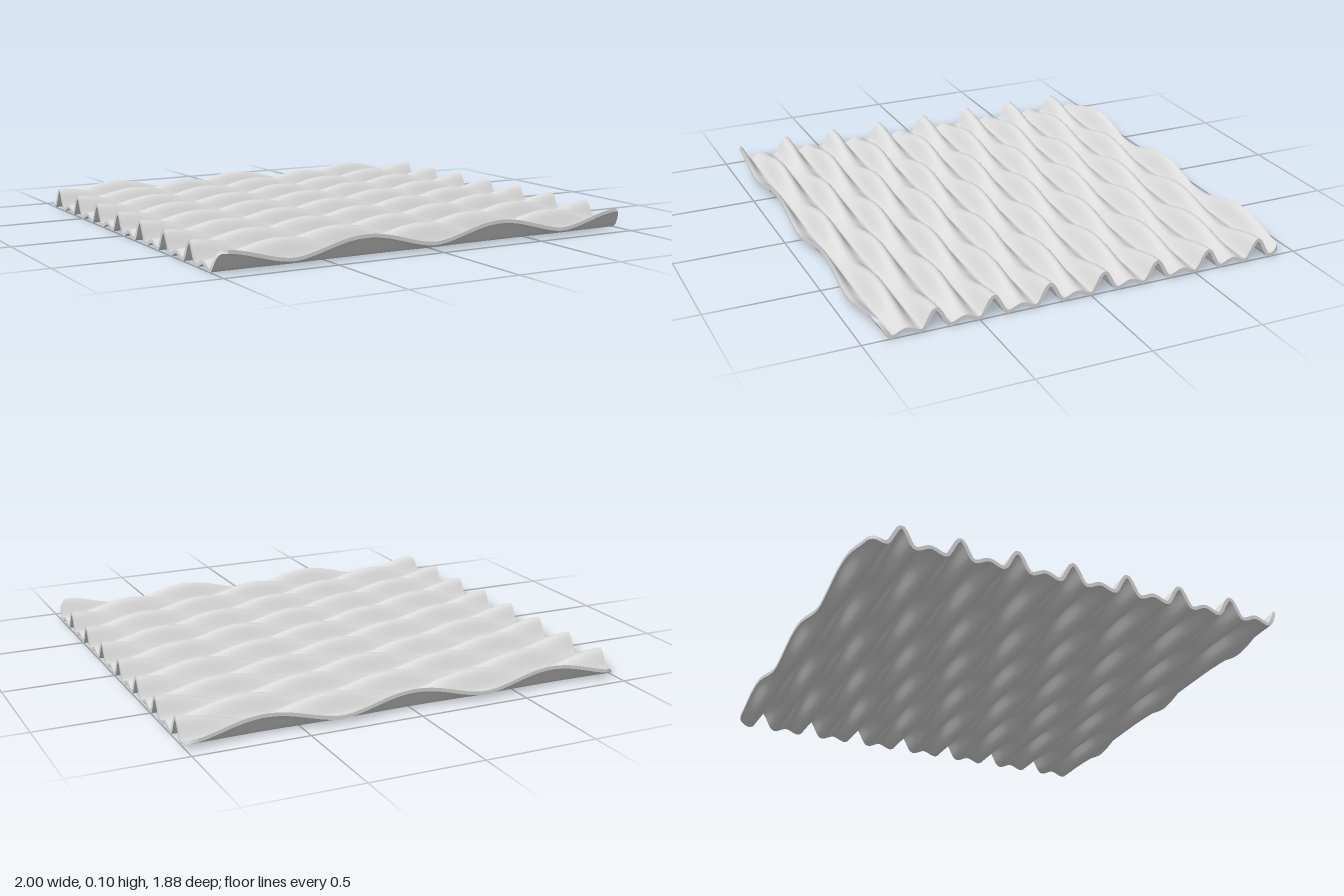
import * as THREE from 'three';

const HALF_X = 1, HALF_Z = 0.9375, PITCH = 0.125, CORNER = 0.05;
const HALF_THICK = 0.0078, LOW = 0.02, HIGH = 0.082;
const NX = 84, NZ = 240;

// Mid-surface height: ridges along x whose crests swell alternately from row to row
function height(x, z) {
  const t = (HALF_Z - z) / PITCH;
  const row = Math.round(t);
  const sign = row % 2 === 0 ? -1 : 1;
  const swell = Math.pow(Math.max(0, 0.5 + 0.5 * sign * Math.cos(3 * Math.PI * x)), 0.85);
  const crest = LOW + (HIGH - LOW) * swell;
  return HALF_THICK + crest * (0.5 + 0.5 * Math.cos(2 * Math.PI * t));
}

// Point of the sheet at grid position (i, j), offset to the top (+1) or underside (-1)
function sheetPoint(i, j, side) {
  const z = HALF_Z * (2 * j / NZ - 1);
  const d = Math.max(0, Math.abs(z) - (HALF_Z - CORNER));
  const reach = HALF_X - CORNER + Math.sqrt(Math.max(0, CORNER * CORNER - d * d));
  const x = reach * (2 * i / NX - 1);
  const e = 0.0005;
  const n = new THREE.Vector3(
    (height(x - e, z) - height(x + e, z)) / (2 * e), 1,
    (height(x, z - e) - height(x, z + e)) / (2 * e)
  ).normalize().multiplyScalar(side * HALF_THICK);
  const p = new THREE.Vector3(x, height(x, z), z).add(n);
  p.x = THREE.MathUtils.clamp(p.x, -HALF_X, HALF_X);
  return p;
}

// Smooth grid of (nu + 1) x (nv + 1) points
function gridGeometry(nu, nv, point, flip) {
  const pos = [], index = [];
  for (let v = 0; v <= nv; v++)
    for (let u = 0; u <= nu; u++) pos.push(...point(u, v).toArray());
  for (let v = 0; v < nv; v++)
    for (let u = 0; u < nu; u++) {
      const a = v * (nu + 1) + u, b = a + 1, c = a + nu + 1, d = c + 1;
      if (flip) index.push(a, b, c, b, d, c);
      else index.push(a, c, b, b, c, d);
    }
  const g = new THREE.BufferGeometry();
  g.setAttribute('position', new THREE.Float32BufferAttribute(pos, 3));
  g.setIndex(index);
  g.computeVertexNormals();
  return g;
}

export function createModel() {
  const group = new THREE.Group();
  group.name = 'corrugatedPanel';
  const grey = new THREE.MeshStandardMaterial({ color: 0xdcdcdc });
  grey.name = 'lightGrey';
  const add = (name, geometry) => {
    const mesh = new THREE.Mesh(geometry, grey);
    mesh.name = name;
    group.add(mesh);
  };

  // Upper and lower skins
  add('topSurface', gridGeometry(NX, NZ, (i, j) => sheetPoint(i, j, 1), false));
  add('underside', gridGeometry(NX, NZ, (i, j) => sheetPoint(i, j, -1), true));

  // Thin rims closing the four sides
  const rim = (name, count, at, flip) => add(name,
    gridGeometry(count, 1, (u, v) => sheetPoint(...at(u), v ? 1 : -1), flip));
  rim('frontRim', NX, u => [u, NZ], true);
  rim('backRim', NX, u => [u, 0], false);
  rim('leftRim', NZ, u => [NX, u], false);
  rim('rightRim', NZ, u => [0, u], true);

  return group;
}
